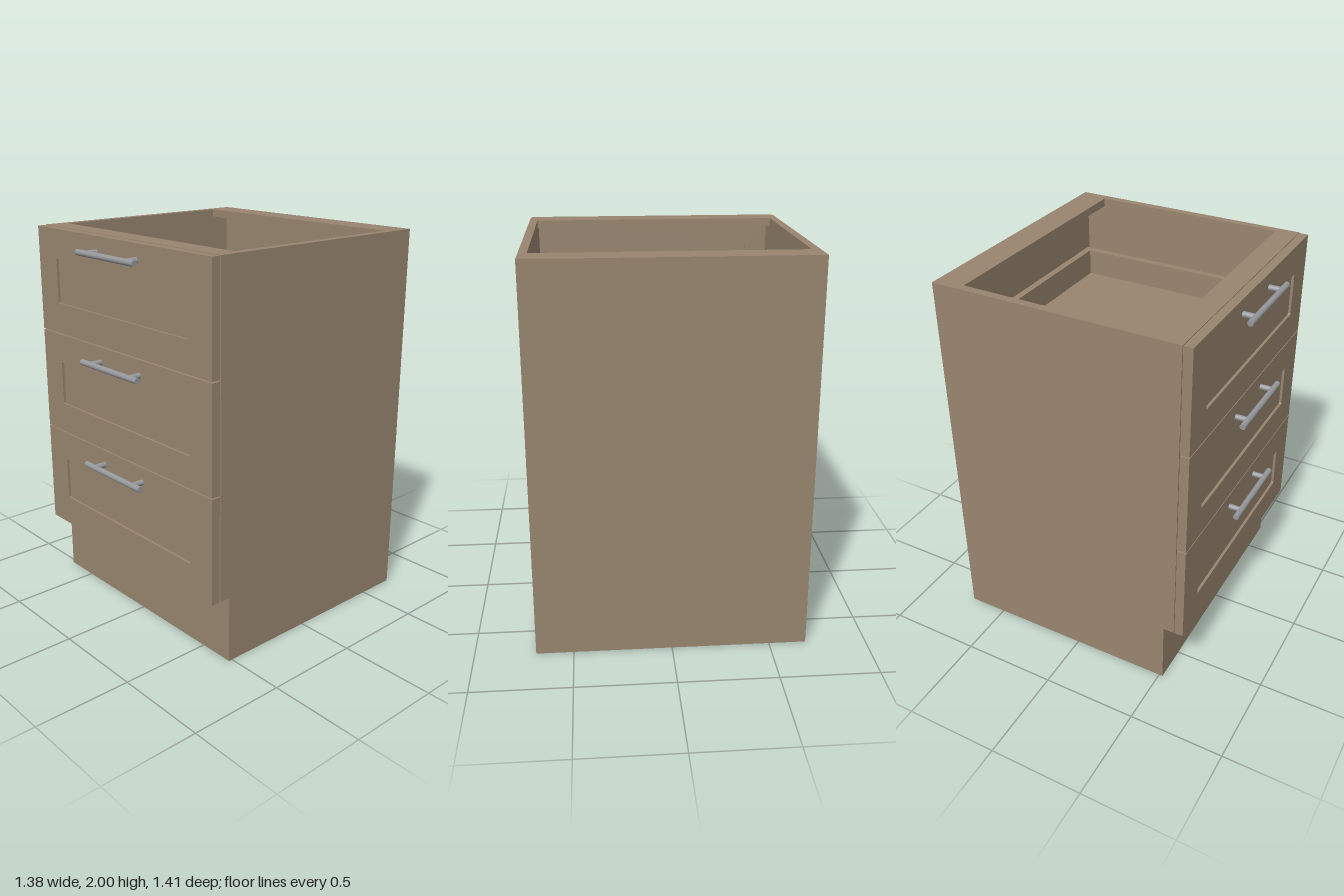
import * as THREE from 'three';

const wood = new THREE.MeshStandardMaterial({ color: 0x98856f });
const steel = new THREE.MeshStandardMaterial({ color: 0x95979a });

// Box given by its min and max corners
function box(name, [x0, y0, z0], [x1, y1, z1], material = wood) {
  const mesh = new THREE.Mesh(new THREE.BoxGeometry(x1 - x0, y1 - y0, z1 - z0), material);
  mesh.name = name;
  mesh.position.set((x0 + x1) / 2, (y0 + y1) / 2, (z0 + z1) / 2);
  return mesh;
}

function rod(name, radius, length, material) {
  const mesh = new THREE.Mesh(new THREE.CylinderGeometry(radius, radius, length, 24), material);
  mesh.name = name;
  return mesh;
}

const W = 0.69, T = 0.042, IN = W - T;      // half width, board thickness, inner half width
const BACK = -0.707, FRONT = 0.578, KICK = 0.52, BASE = 0.35;

function createCarcass() {
  const carcass = new THREE.Group();
  carcass.name = 'carcass';

  // Side panels with the toe-kick notch, drawn in (z, y) and extruded along x
  const profile = new THREE.Shape([
    [BACK, 0], [KICK, 0], [KICK, BASE], [FRONT, BASE], [FRONT, 2], [BACK, 2],
  ].map(([z, y]) => new THREE.Vector2(-z, y)));
  const sideGeometry = new THREE.ExtrudeGeometry(profile, { depth: T, bevelEnabled: false });
  sideGeometry.rotateY(Math.PI / 2);
  for (const [name, x] of [['leftSide', IN], ['rightSide', -W]]) {
    const side = new THREE.Mesh(sideGeometry, wood);
    side.name = name;
    side.position.x = x;
    carcass.add(side);
  }

  carcass.add(
    box('backPanel', [-IN, 0, BACK], [IN, 2, BACK + T]),
    box('bottomPanel', [-IN, BASE, BACK + T], [IN, BASE + T, FRONT]),
    box('toeKick', [-IN, 0, KICK - T], [IN, BASE, KICK]),
    box('backRail', [-IN, 2 - T, BACK + T], [IN, 2, -0.557]),
    box('frontRail', [-IN, 2 - T, 0.463], [IN, 2, FRONT]),
  );
  return carcass;
}

function roundedRect(Path, x0, y0, x1, y1, r) {
  const p = new Path();
  p.absarc(x1 - r, y0 + r, r, -Math.PI / 2, 0);
  p.absarc(x1 - r, y1 - r, r, 0, Math.PI / 2);
  p.absarc(x0 + r, y1 - r, r, Math.PI / 2, Math.PI);
  p.absarc(x0 + r, y0 + r, r, Math.PI, Math.PI * 1.5);
  p.closePath();
  return p;
}

function createHandle() {
  const handle = new THREE.Group();
  handle.name = 'handle';
  const bar = rod('handleBar', 0.0155, 0.46, steel);
  bar.rotation.z = Math.PI / 2;
  bar.position.z = 0.6915;
  handle.add(bar);
  for (const x of [-0.16, 0.16]) {
    const post = rod('handlePost', 0.015, 0.065, steel);
    post.rotation.x = Math.PI / 2;
    post.position.set(x, 0, 0.6575);
    handle.add(post);
  }
  return handle;
}

// One drawer, with y = 0 at the lower edge of its front
function createDrawer() {
  const drawer = new THREE.Group();
  drawer.name = 'drawer';
  const z0 = 0.58, z1 = 0.627, H = 0.546;

  // Framed front with a recessed centre panel
  const frameShape = new THREE.Shape([
    [-0.687, 0], [0.687, 0], [0.687, H], [-0.687, H],
  ].map(([x, y]) => new THREE.Vector2(x, y)));
  frameShape.holes.push(roundedRect(THREE.Path, -0.528, 0.16, 0.528, 0.39, 0.008));
  const frame = new THREE.Mesh(
    new THREE.ExtrudeGeometry(frameShape, { depth: z1 - z0, bevelEnabled: false, curveSegments: 4 }), wood);
  frame.name = 'frontFrame';
  frame.position.z = z0;
  drawer.add(frame, box('frontPanel', [-0.53, 0.158, z0 + 0.014], [0.53, 0.392, z1 - 0.014]));

  // Open box behind the front
  const o = 0.62, i = 0.583, low = 0.07, top = 0.25, rear = -0.66;
  drawer.add(
    box('drawerBottom', [-i, low, rear + 0.037], [i, 0.11, z0]),
    box('drawerBack', [-i, low, rear], [i, top, rear + 0.037]),
  );

  // Box sides and their runners
  for (const s of [-1, 1]) {
    const span = (a, b) => [Math.min(s * a, s * b), Math.max(s * a, s * b)];
    const [a, b] = span(i, o);
    const [c, d] = span(o, IN);
    drawer.add(
      box('drawerSide', [a, low, rear], [b, top, z0]),
      box('runner', [c, 0.12, rear], [d, 0.19, 0.57], steel),
    );
  }

  const handle = createHandle();
  handle.position.y = 0.467;
  drawer.add(handle);
  return drawer;
}

export function createModel() {
  const model = new THREE.Group();
  model.name = 'drawerCabinet';
  model.add(createCarcass());
  for (let n = 0; n < 3; n++) {
    const drawer = createDrawer();
    drawer.position.y = 0.347 + n * 0.5525;
    model.add(drawer);
  }
  return model;
}
